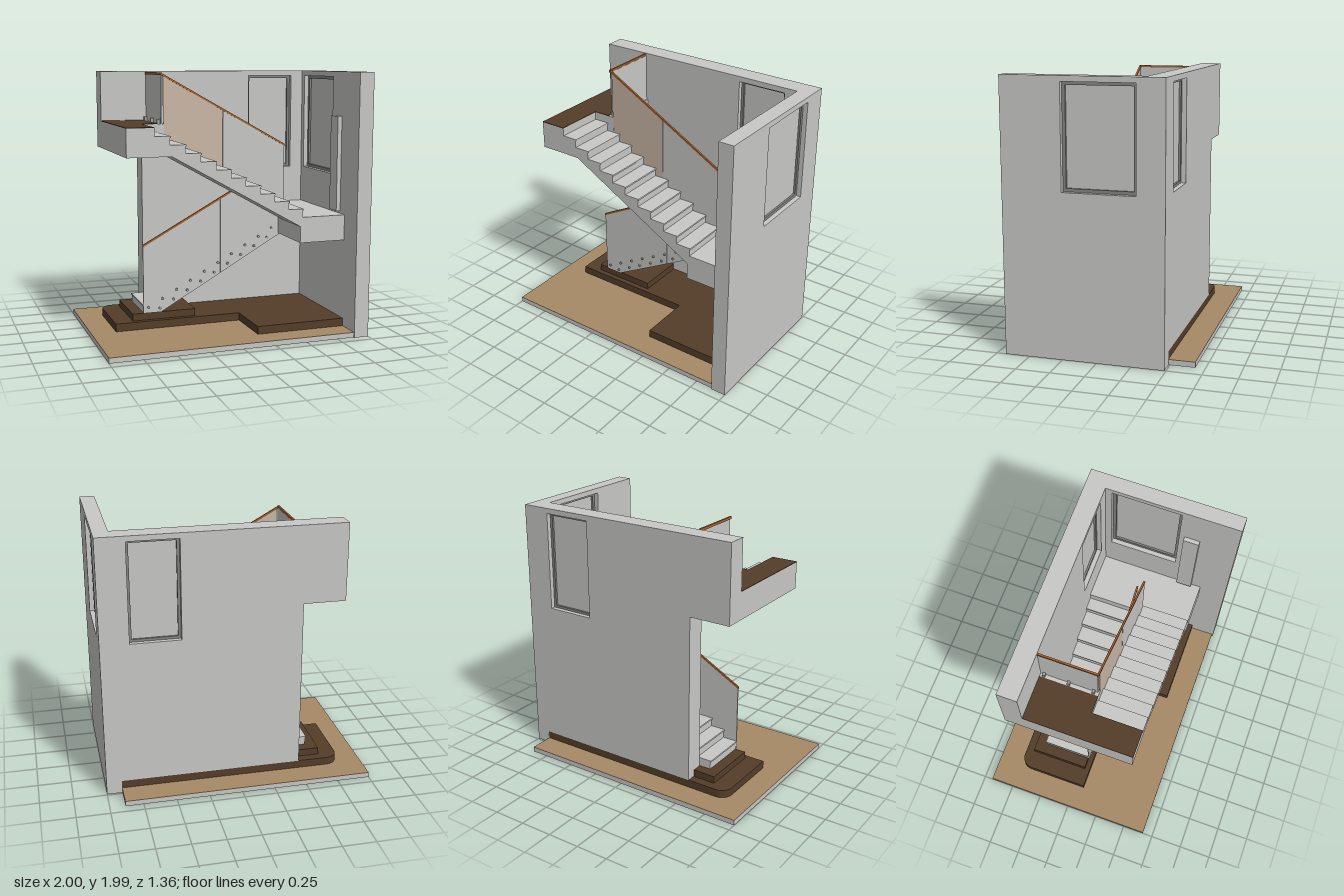
import * as THREE from 'three';

export function createModel() {
  const model = new THREE.Group();
  const mat = (name, color) => {
    const m = new THREE.MeshStandardMaterial({ color });
    m.name = name;
    return m;
  };
  const plaster = mat('pale grey plaster', 0xc8c8c6);
  const floorTan = mat('tan floor', 0xa68a66);
  const carpet = mat('dark brown carpet', 0x543d29);
  const wood = mat('orange wood', 0xa8622f);
  const tinted = mat('tinted panel', 0xcab8a7);
  const frameGrey = mat('dark grey frame', 0x858583);
  const steel = mat('steel', 0xa4a4a2);

  const add = (name, geo, material, parent = model) => {
    const m = new THREE.Mesh(geo, material);
    m.name = name;
    parent.add(m);
    return m;
  };
  // Box given by its limits on each axis
  const box = (name, [x0, x1], [y0, y1], [z0, z1], material, parent) => {
    const g = new THREE.BoxGeometry(x1 - x0, y1 - y0, z1 - z0);
    g.translate((x0 + x1) / 2, (y0 + y1) / 2, (z0 + z1) / 2);
    return add(name, g, material, parent);
  };
  const outline = (pts) => new THREE.Shape(pts.map(([x, y]) => new THREE.Vector2(x, y)));
  const rect = (x0, x1, y0, y1) => [[x0, y0], [x1, y0], [x1, y1], [x0, y1]];
  // Profile in x and y, extruded from z0 to z1
  const slab = (pts, z0, z1, hole) => {
    const s = outline(pts);
    if (hole) s.holes.push(new THREE.Path(outline(hole).getPoints()));
    return new THREE.ExtrudeGeometry(s, { depth: z1 - z0, bevelEnabled: false }).translate(0, 0, z0);
  };
  const turnToSide = (g) => g.rotateY(Math.PI / 2); // profile x becomes -z, depth becomes x

  // Floor
  box('floorSlab', [-1, 0.885], [0, 0.037], [-0.68, 0.67], plaster);
  box('floorSurface', [-1, 0.885], [0.037, 0.04], [-0.68, 0.67], floorTan);

  // Carpeted L-shaped platform with one rounded corner
  const p = new THREE.Shape();
  p.moveTo(0.885, -0.488);
  p.lineTo(0.885, 0.482);
  p.lineTo(0.18, 0.482);
  p.lineTo(0.18, 0.075);
  p.lineTo(-0.812, 0.075);
  p.lineTo(-0.812, -0.398);
  p.absarc(-0.722, -0.398, 0.09, Math.PI, Math.PI * 1.5, false);
  const platform = new THREE.ExtrudeGeometry(p, { depth: 0.06, bevelEnabled: false, curveSegments: 10 });
  platform.rotateX(Math.PI / 2).translate(0, 0.1, 0);
  add('platform', platform, carpet);
  box('platformStep', [-0.67, -0.17], [0.1, 0.155], [-0.335, 0.035], carpet);
  box('platformStepEnd', [-0.67, -0.492], [0.1, 0.155], [-0.42, -0.335], carpet);

  // Walls with a recessed window in each
  const wallPart = (name, pts, w, d0, d1, border, side) => {
    const group = new THREE.Group();
    group.name = name;
    model.add(group);
    const [x0, x1, y0, y1] = w;
    const inner = [x0 + border, x1 - border, y0 + border, y1 - border];
    const turn = (g) => (side ? turnToSide(g) : g);
    add('wall', turn(slab(pts, d0, d1, rect(...w))), plaster, group);
    add('windowFrame', turn(slab(rect(...w), d0 + 0.035, d1 - 0.035, rect(...inner))), frameGrey, group);
    add('windowPane', turn(slab(rect(...inner), d0 + 0.05, d1 - 0.05)), plaster, group);
  };
  wallPart('backWall', [[-0.49, 0.1], [0.885, 0.1], [0.885, 0], [1, 0], [1, 1.99], [-0.81, 1.99],
    [-0.81, 1.4], [-0.49, 1.4]], [0.41, 0.785, 1.2, 1.95], -0.49, -0.34, 0.02, false);
  wallPart('sideWall', rect(-0.68, 0.34, 0, 1.99), [-0.24, 0.29, 1.2, 1.95], 0.885, 1, 0.024, true);
  box('wallFixture', [0.852, 0.885], [0.93, 1.655], [0.28, 0.4], plaster);

  // Flight of stairs: stepped top with small nosings, flat underside
  const flight = (name, x0, y0, run, rise, count, under, z0, z1) => {
    const pts = [[x0, y0]];
    const nose = Math.sign(run) * 0.006;
    for (let i = 0; i < count; i++) {
      const x = x0 + run * i, y = y0 + rise * (i + 1);
      pts.push([x, y - 0.012], [x - nose, y - 0.012], [x - nose, y], [x + run, y]);
    }
    add(name, slab([...pts, ...under], z0, z1), plaster);
  };
  const lowerRun = 0.1125, lowerRise = 0.755 / 11;
  flight('lowerFlight', -0.585, 0.155, lowerRun, lowerRise, 10,
    [[0.54, 0.715], [-0.45, 0.155]], -0.34, 0.035);
  const upperRun = -0.1147, upperRise = 0.7 / 11;
  flight('upperFlight', 0.54, 0.91, upperRun, upperRise, 10,
    [[-0.607, 1.4], [-0.48, 1.4], [0.52, 0.84], [0.52, 0.8]], 0.1, 0.475);

  // Landings
  box('middleLanding', [0.52, 0.885], [0.715, 0.91], [-0.34, 0.475], plaster);
  add('upperLanding', slab(rect(-0.81, -0.607, 1.4, 1.606), -0.34, 0.475), plaster);
  box('upperLandingInner', [-0.607, -0.43], [1.4, 1.606], [-0.34, 0.1], plaster);
  box('upperLandingCarpet', [-0.81, -0.607], [1.606, 1.611], [-0.34, 0.475], carpet);
  box('upperLandingCarpetInner', [-0.607, -0.48], [1.606, 1.611], [-0.34, 0.1], carpet);

  // Balustrade panels, from the underside of each flight up to the handrail
  const lowerTop = (x) => 0.68 + 0.544 * (x + 0.59);
  const lowerUnder = (x) => Math.max(0.156, 0.155 + 0.5657 * (x + 0.45));
  const upperTop = (x) => 1.975 - 0.5555 * (x + 0.45);
  const upperUnder = (x) => Math.min(1.41, 1.4 - 0.56 * (x + 0.48));
  const panel = (name, xs, top, under, z, material) => {
    const pts = [...xs.map((x) => [x, under(x)]), ...xs.map((x) => [x, top(x)]).reverse()];
    add(name, slab(pts, z, z + 0.01), material);
  };
  panel('lowerPanelLeft', [-0.588, -0.45, 0.03], lowerTop, lowerUnder, 0.036, plaster);
  panel('lowerPanelRight', [0.034, 0.54], lowerTop, lowerUnder, 0.036, plaster);
  panel('upperPanelLeft', [-0.435, 0.033], upperTop, upperUnder, 0.089, tinted);
  panel('upperPanelRight', [0.037, 0.54], upperTop, (x) => Math.max(0.84, upperUnder(x)), 0.089, plaster);
  box('landingPanel', [-0.452, -0.441], [1.45, 1.97], [-0.34, 0.09], plaster);
  for (const z of [-0.31, -0.125, 0.06]) {
    box('landingPanelClip', [-0.475, -0.452], [1.606, 1.64], [z - 0.01, z + 0.01], steel);
  }

  // Handrails
  const rail = (name, x0, x1, top, z) => {
    const h = 0.008;
    add(name, slab([[x0, top(x0) - h], [x1, top(x1) - h], [x1, top(x1) + h], [x0, top(x0) + h]],
      z - 0.007, z + 0.007), wood);
  };
  rail('lowerHandrail', -0.59, 0.545, lowerTop, 0.042);
  rail('upperHandrail', -0.455, 0.545, upperTop, 0.094);
  box('landingHandrail', [-0.457, -0.443], [1.966, 1.985], [-0.34, 0.1], wood);

  // Paired round fixings along each balustrade
  const bolt = (x, y, z) => {
    const g = new THREE.CylinderGeometry(0.01, 0.01, 0.012, 12).rotateX(Math.PI / 2);
    add('panelBolt', g.translate(x, y, z), steel);
  };
  for (let i = 0; i < 10; i++) {
    const x = -0.55 + lowerRun * i, y = 0.2 + 0.0625 * i;
    bolt(x, y, 0.051);
    bolt(x + 0.09 - 0.002 * i, y - 0.012, 0.051);
    const u = 0.49 + upperRun * i * 0.95, v = 0.93 + upperRise * i * 0.95;
    bolt(u, v, 0.084);
    bolt(u - 0.07, v - 0.012, 0.084);
  }
  return model;
}
